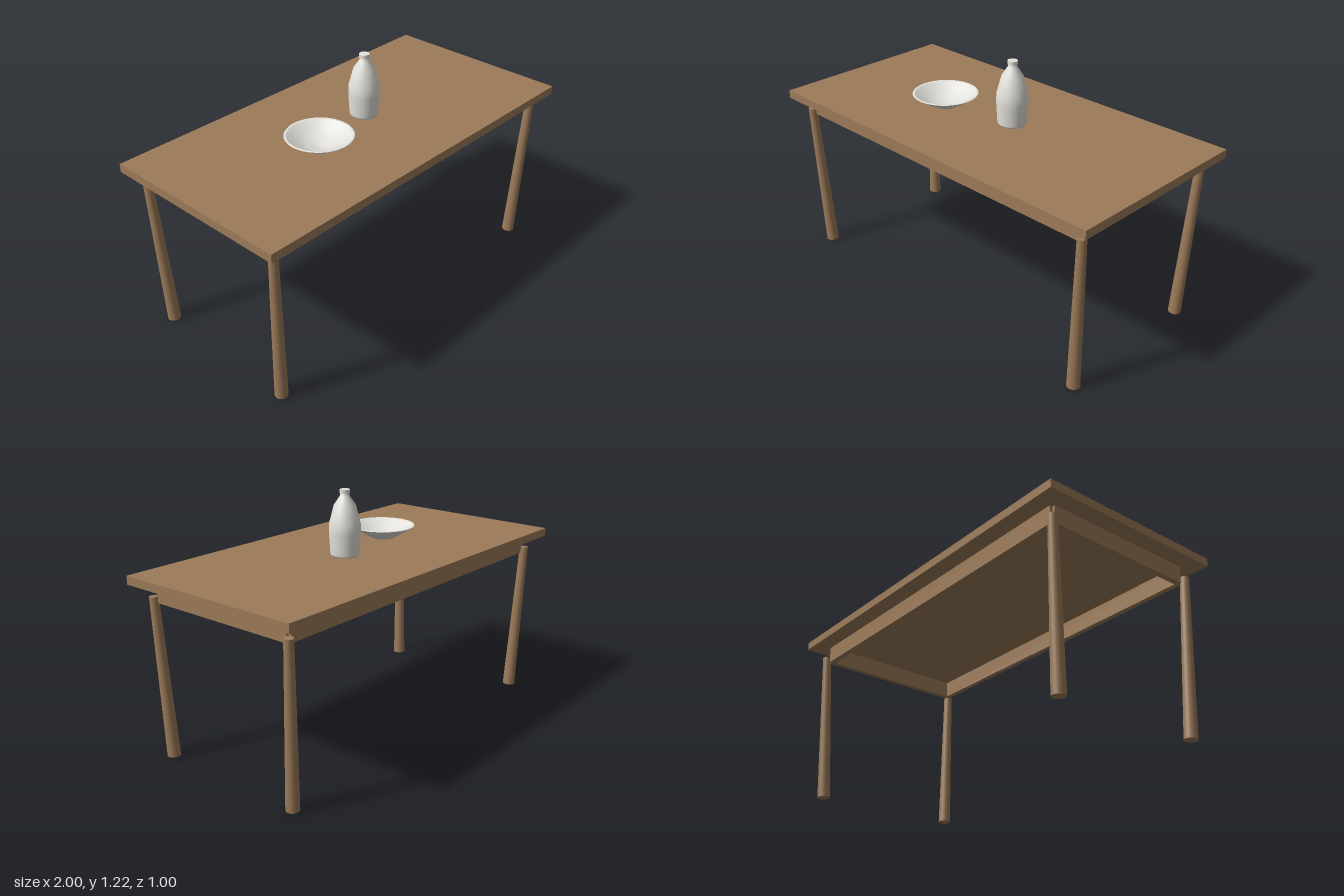
import * as THREE from 'three';

const wood = new THREE.MeshStandardMaterial({ color: 0x9c7b59 });
wood.name = 'wood';
const ceramic = new THREE.MeshStandardMaterial({ color: 0xe4e2dc });
ceramic.name = 'ceramic';

export function createModel() {
  const model = new THREE.Group();
  model.name = 'diningTable';

  const add = (name, geometry, material, x, y, z) => {
    const mesh = new THREE.Mesh(geometry, material);
    mesh.name = name;
    mesh.position.set(x, y, z);
    model.add(mesh);
    return mesh;
  };
  const lathe = (points, segments) =>
    new THREE.LatheGeometry(points.map(([r, y]) => new THREE.Vector2(r, y)), segments);

  // Table top
  add('tableTop', new THREE.BoxGeometry(2, 0.042, 1), wood, 0, 0.879, 0);

  // Apron boards, overlapping at the corners
  for (const s of [1, -1]) {
    add(s > 0 ? 'frontApron' : 'backApron',
      new THREE.BoxGeometry(1.8, 0.088, 0.028), wood, 0, 0.814, s * 0.4);
    add(s > 0 ? 'leftApron' : 'rightApron',
      new THREE.BoxGeometry(0.028, 0.088, 0.8), wood, s * 0.9, 0.814, 0);
  }

  // Round legs, thicker at the foot and leaning outward at the top
  const up = new THREE.Vector3(0, 1, 0);
  for (const sx of [1, -1]) {
    for (const sz of [1, -1]) {
      const foot = new THREE.Vector3(sx * 0.89, 0.002, sz * 0.39);
      const top = new THREE.Vector3(sx * 0.92, 0.8, sz * 0.42);
      const axis = top.clone().sub(foot);
      const leg = add((sz > 0 ? 'front' : 'back') + (sx > 0 ? 'Left' : 'Right') + 'Leg',
        new THREE.CylinderGeometry(0.022, 0.032, axis.length(), 24), wood, 0, 0, 0);
      leg.position.copy(foot).add(top).multiplyScalar(0.5);
      leg.quaternion.setFromUnitVectors(up, axis.normalize());
    }
  }

  // Bottle: body with shoulder and neck, closed by a small stopper
  add('bottle', lathe([
    [0, 0], [0.068, 0], [0.071, 0.01], [0.077, 0.11], [0.076, 0.157],
    [0.053, 0.245], [0.022, 0.292], [0.022, 0.308],
  ], 32), ceramic, 0.108, 0.9, -0.022);
  add('bottleStopper', new THREE.CylinderGeometry(0.025, 0.025, 0.016, 32),
    ceramic, 0.108, 1.213, -0.022);

  // Shallow bowl: outside, flat rim, then rounded inside
  add('bowlOutside', lathe([[0, 0], [0.057, 0], [0.057, 0], [0.11, 0.03], [0.165, 0.065]], 48),
    ceramic, -0.28, 0.901, 0.053);
  add('bowlRim', lathe([[0.165, 0.065], [0.163, 0.068], [0.153, 0.066]], 48),
    ceramic, -0.28, 0.901, 0.053);
  add('bowlInside', lathe([[0.153, 0.066], [0.105, 0.036], [0.055, 0.012], [0, 0.006]], 48),
    ceramic, -0.28, 0.901, 0.053);

  return model;
}
